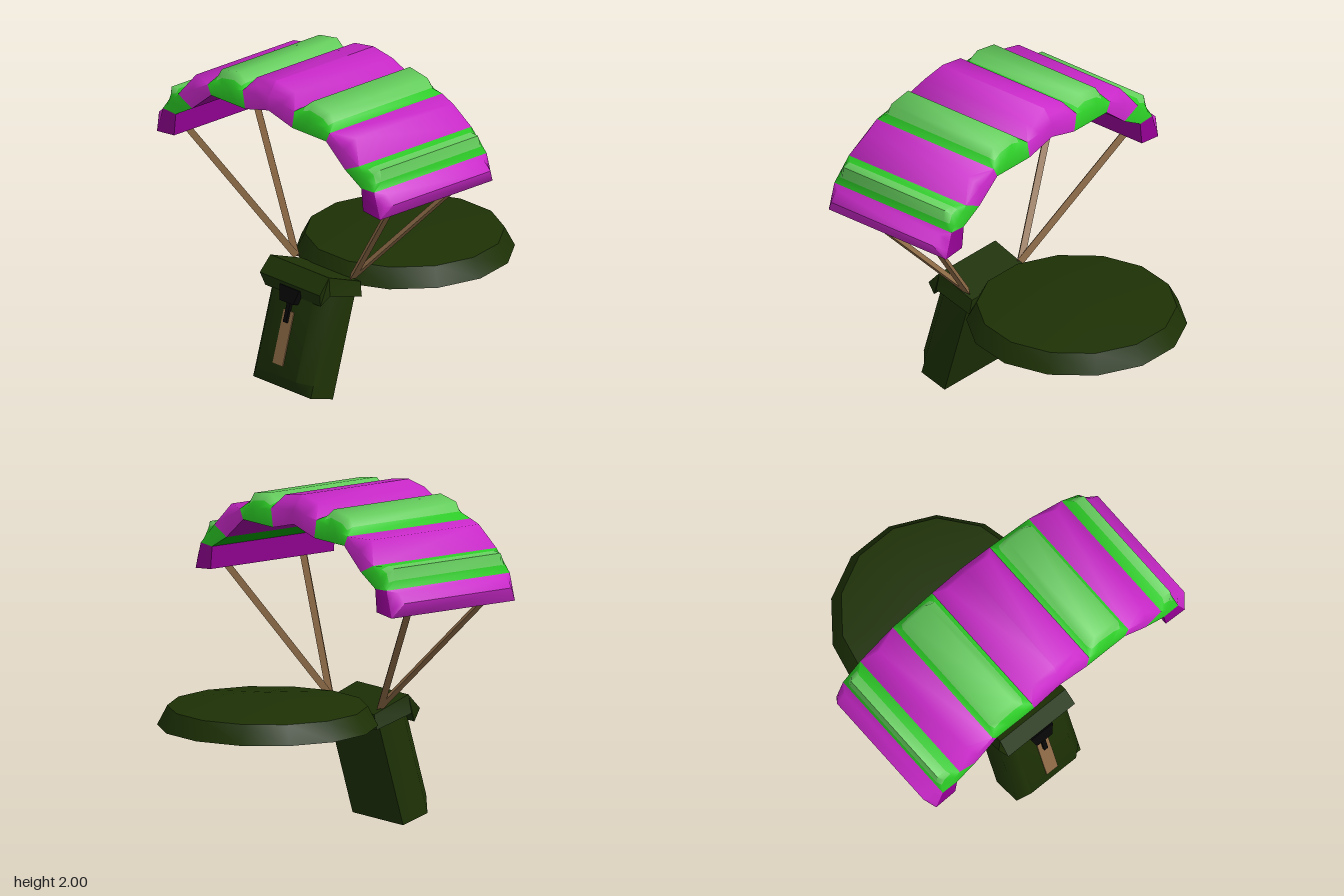
import * as THREE from 'three';
import { toCreasedNormals } from 'three/addons/utils/BufferGeometryUtils.js';

const paint = (name, color) => {
  const m = new THREE.MeshStandardMaterial({ color });
  m.name = name;
  return m;
};

const lerp2 = (a, b, t) => [a[0] + (b[0] - a[0]) * t, a[1] + (b[1] - a[1]) * t];

// Two triangles from four corners, reversed when mirrored
function quad(out, a, b, c, d, flip = false) {
  const t = flip ? [a, c, b, a, d, c] : [a, b, c, a, c, d];
  t.forEach(p => out.push(...p));
}

function surface(positions, crease) {
  const g = new THREE.BufferGeometry();
  g.setAttribute('position', new THREE.Float32BufferAttribute(positions, 3));
  return toCreasedNormals(g, crease);
}

// One inflated canopy cell: a ring of eight points is lofted along the arch.
// Material slots: 0 = sides, 1 = crown, 2 = underside
const FRONT = 0.86, BACK = -0.04, INSET = 0.06;
function canopyCell({ puff, edge, base, tip, open }, side) {
  const n = puff.length - 1;
  const rings = puff.map((p, i) => {
    const t = i / n;
    const e = lerp2(edge[0], edge[1], t), b = lerp2(base[0], base[1], t);
    const m = lerp2(e, p, 0.5);
    const inset = i === n || (i === 0 && !open) ? 0 : INSET;
    const at = (q, z) => [q[0] * side, q[1], z];
    return [at(b, FRONT), at(e, FRONT), at(m, FRONT - inset / 2), at(p, FRONT - inset),
      at(p, BACK + inset), at(m, BACK + inset / 2), at(e, BACK), at(b, BACK)];
  });
  const slots = [[], [], []], flip = side < 0;
  for (let i = 0; i < n; i++) {
    for (let k = 0; k < 8; k++) {
      const j = (k + 1) % 8;
      const under = k === 7 || (tip && (k === 0 || k === 6));
      const crown = k >= 2 && k <= 4 && i > 0 && i < n - 1;
      quad(slots[under ? 2 : crown ? 1 : 0],
        rings[i][k], rings[i + 1][k], rings[i + 1][j], rings[i][j], flip);
    }
  }
  const r = rings[n];
  if (tip) quad(slots[2], r[0], r[7], r[6], r[1], flip);
  const g = surface(slots.flat(), 1.2);
  let start = 0;
  slots.forEach((s, i) => {
    g.addGroup(start, s.length / 3, i);
    start += s.length / 3;
  });
  return g;
}

export function createModel() {
  const magenta = paint('magenta cloth', 0xca28ca);
  const darkMagenta = paint('dark magenta underside', 0x940094);
  const green = paint('green cloth', 0x2ccc26);
  const paleGreen = paint('pale green cloth', 0x66d05e);
  const darkGreen = paint('dark green underside', 0x009600);
  const olive = paint('dark olive', 0x1d3105);
  const tan = paint('tan cord', 0x8c6a46);
  const black = paint('black buckle', 0x060607);

  const model = new THREE.Group();
  const add = (parent, name, geometry, material) => {
    const mesh = new THREE.Mesh(geometry, material);
    mesh.name = name;
    parent.add(mesh);
    return mesh;
  };

  // Canopy, from the middle out to the tip, mirrored
  const pink = [magenta, magenta, darkMagenta], lime = [green, paleGreen, darkGreen];
  const cells = [
    { name: 'centreCell', mats: pink, open: true,
      puff: [[0, 2.0], [0.16, 1.975], [0.22, 1.89]],
      edge: [[0, 1.915], [0.22, 1.89]], base: [[0, 1.83], [0.2, 1.78]] },
    { name: 'innerGreenCell', mats: lime,
      puff: [[0.22, 1.89], [0.25, 1.915], [0.31, 1.962], [0.46, 1.937], [0.495, 1.885], [0.52, 1.84]],
      edge: [[0.22, 1.89], [0.52, 1.84]], base: [[0.2, 1.78], [0.49, 1.78]] },
    { name: 'middleCell', mats: pink,
      puff: [[0.52, 1.84], [0.68, 1.838], [0.77, 1.705]],
      edge: [[0.52, 1.84], [0.77, 1.705]], base: [[0.49, 1.78], [0.65, 1.65]] },
    { name: 'outerGreenCell', mats: lime,
      puff: [[0.77, 1.705], [0.83, 1.705], [0.89, 1.70], [0.898, 1.63], [0.9, 1.578]],
      edge: [[0.77, 1.705], [0.9, 1.578]], base: [[0.65, 1.65], [0.79, 1.572]] },
    { name: 'tipCell', mats: pink, tip: true,
      puff: [[0.9, 1.578], [0.94, 1.563], [0.997, 1.51], [0.95, 1.42]],
      edge: [[0.9, 1.578], [0.95, 1.42]], base: [[0.79, 1.572], [0.805, 1.435]] },
  ];
  const canopy = new THREE.Group();
  canopy.name = 'canopy';
  model.add(canopy);
  for (const side of [1, -1])
    for (const c of cells) add(canopy, c.name, canopyCell(c, side), c.mats);

  // Three-sided suspension cords, flat face outwards
  for (const side of [1, -1]) {
    for (const z of [0.70, 0.13]) {
      const top = new THREE.Vector3(0.885 * side, 1.45, z);
      const low = new THREE.Vector3(0.235 * side, 0.725, 0.41);
      const y = top.clone().sub(low), length = y.length();
      y.normalize();
      const x = y.clone().cross(new THREE.Vector3(0, 0, 1)).normalize();
      const prism = new THREE.CylinderGeometry(0.029, 0.029, length, 3, 1, false, -side * Math.PI / 2);
      const cord = add(model, 'cord', toCreasedNormals(prism.scale(0.75, 1, 1), 0.3), tan);
      cord.quaternion.setFromRotationMatrix(
        new THREE.Matrix4().makeBasis(x, y, x.clone().cross(y)));
      cord.position.copy(top).add(low).multiplyScalar(0.5);
    }
  }

  // Fourteen-sided disc with shallow cones above and below
  const profile = [[0, 0.565], [0.645, 0.66], [0.585, 0.775], [0, 0.855]]
    .map(p => new THREE.Vector2(...p));
  const disc = add(model, 'disc',
    toCreasedNormals(new THREE.LatheGeometry(profile, 14, Math.PI / 2), 0.5), olive);
  disc.position.z = -0.23;

  // Tilted pack: local y runs up its back, local z points out of its front
  const pack = new THREE.Group();
  pack.name = 'pack';
  pack.position.set(0, 0.005, 0.575);
  pack.rotation.x = -0.28;
  model.add(pack);

  // Body with chamfered front corners and bottom edge
  const section = (y, front) => [[-0.245, 0], [-0.245, 0.185], [-0.17, front],
    [0.17, front], [0.245, 0.185], [0.245, 0]].map(([x, z]) => [x, y, z]);
  const levels = [section(0, 0.185), section(0.077, 0.256), section(0.69, 0.256)];
  const body = [];
  for (let l = 0; l < 2; l++)
    for (let k = 0; k < 6; k++) {
      const j = (k + 1) % 6;
      quad(body, levels[l][k], levels[l][j], levels[l + 1][j], levels[l + 1][k]);
    }
  quad(body, levels[0][0], levels[0][5], levels[0][4], levels[0][1]);
  add(pack, 'packBody', surface(body, 0.9), olive);

  // Lid flap: side outline in (z, y), swept across and narrowed at top and front lip
  const outline = [[0.36, 0.69], [0.61, 0.78], [0.69, 0.69], [0.665, 0.61], [0.62, 0.67], [0.365, 0.60]];
  const halfWidth = [0.25, 0.25, 0.255, 0.235, 0.268, 0.268];
  const [L, R] = [1, -1].map(s => outline.map(([z, y], i) => [halfWidth[i] * s, y, z]));
  const lid = [];
  for (let k = 0; k < 6; k++) {
    const j = (k + 1) % 6;
    quad(lid, L[k], R[k], R[j], L[j]);
  }
  for (const [s, flip] of [[L, false], [R, true]]) {
    quad(lid, s[0], s[1], s[4], s[5], flip);
    quad(lid, s[1], s[2], s[3], s[4], flip);
  }
  add(model, 'packLid', surface(lid, 0.7), olive);

  // Strap and buckle on the front
  const strap = add(pack, 'strap', new THREE.BoxGeometry(0.085, 0.325, 0.008), tan);
  strap.position.set(0, 0.302, 0.258);
  const plate = new THREE.Shape([[-0.058, 0], [0.058, 0], [0.083, 0.09], [-0.083, 0.09]]
    .map(p => new THREE.Vector2(...p)));
  const buckle = add(pack, 'buckle',
    new THREE.ExtrudeGeometry(plate, { depth: 0.045, bevelEnabled: false }), black);
  buckle.position.set(0, 0.515, 0.252);
  const tongue = add(pack, 'buckleTongue', new THREE.BoxGeometry(0.028, 0.14, 0.02), black);
  tongue.position.set(0, 0.465, 0.268);

  return model;
}
